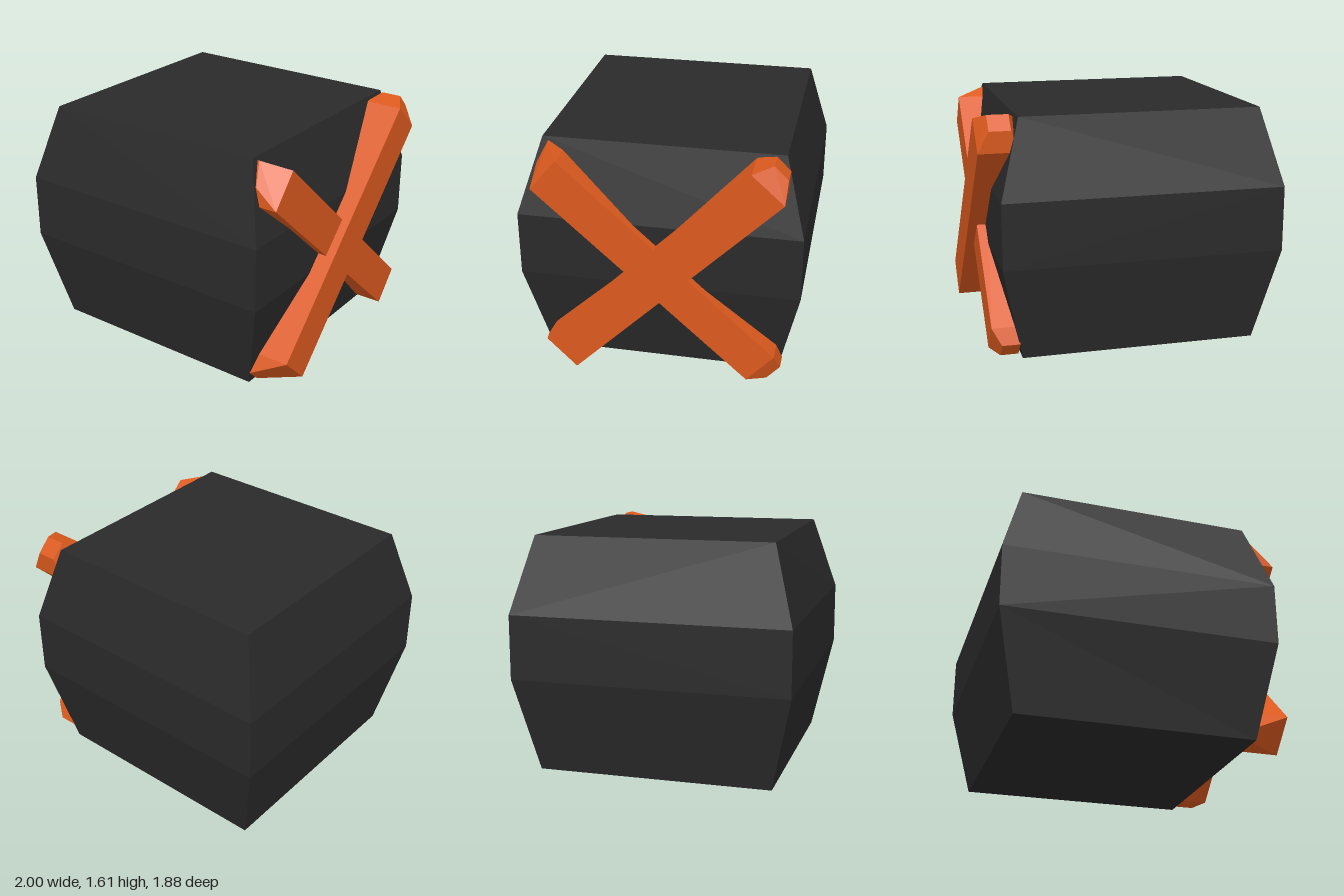
import * as THREE from 'three';
import { ConvexGeometry } from 'three/addons/geometries/ConvexGeometry.js';

const material = (color) => new THREE.MeshStandardMaterial({ color, flatShading: true });

function hull(name, points, mat) {
  const mesh = new THREE.Mesh(new ConvexGeometry(points), mat);
  mesh.name = name;
  return mesh;
}

// Each corner is [z, y, inner x, outer x]; one point on each side of the plank.
function plank(name, corners, mat) {
  const points = corners.flatMap(([z, y, inner, outer]) => [
    new THREE.Vector3(inner, y, z),
    new THREE.Vector3(outer, y, z),
  ]);
  return hull(name, points, mat);
}

export function createModel() {
  const group = new THREE.Group();
  const dark = material(0x2a2a2a);
  const orange = material(0xdc5a1e);

  // Bulging block: rectangular rings [y, x min, x max, half depth]
  const rings = [
    [0, -0.86, 0.74, 0.8],
    [0.65, -1, 0.88, 0.94],
    [1.085, -1, 0.88, 0.94],
    [1.6, -0.86, 0.74, 0.8],
  ];
  const body = rings.flatMap(([y, x0, x1, d]) =>
    [[x0, d], [x1, y === 1.6 ? 0.78 : d], [x1, -d], [x0, -d]].map(([x, z]) => new THREE.Vector3(x, y, z)));
  group.add(hull('body', body, dark));

  // Outer crossing plank, rising towards the back
  group.add(plank('outerPlank', [
    [0.75, 0.21, 0.75, 1], [0.55, 0.01, 0.75, 1],
    [0.82, 0.09, 0.75, 0.76], [0.73, 0, 0.74, 0.76],
    [-0.61, 1.57, 0.74, 1], [-0.82, 1.38, 0.74, 1],
    [-0.74, 1.61, 0.79, 0.93], [-0.83, 1.52, 0.79, 0.93],
  ], orange));

  // Inner crossing plank, rising towards the front
  group.add(plank('innerPlank', [
    [0.64, 1.52, 0.74, 0.94], [0.82, 1.31, 0.8, 0.94],
    [0.74, 1.575, 0.74, 0.76], [0.815, 1.43, 0.77, 0.79],
    [-0.79, 0.22, 0.74, 0.94], [-0.61, 0.02, 0.74, 0.94],
    [-0.83, 0.11, 0.76, 0.88], [-0.74, 0.01, 0.76, 0.88],
  ], orange));

  return group;
}
